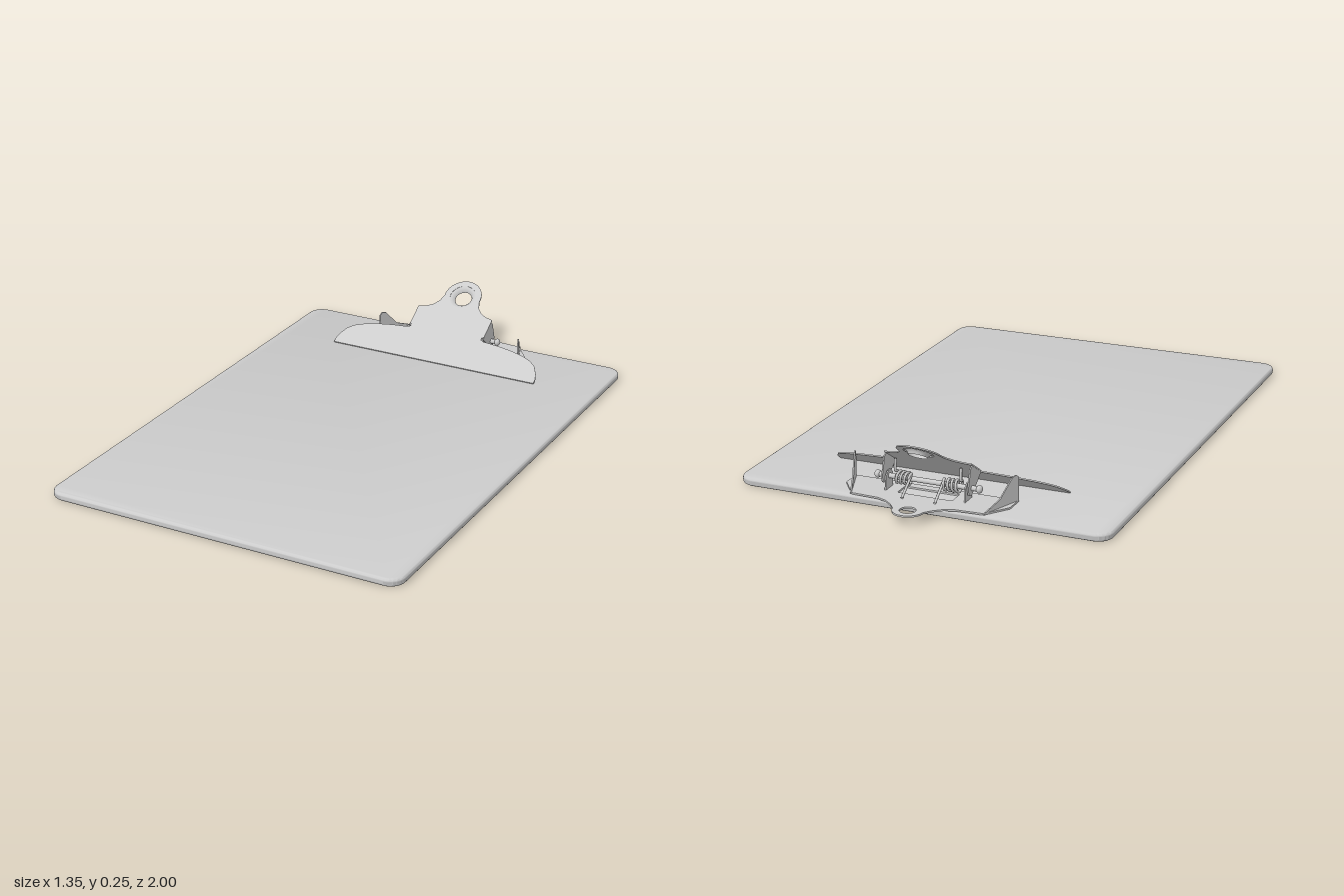
import * as THREE from 'three';
import { toCreasedNormals } from 'three/addons/utils/BufferGeometryUtils.js';

const grey = new THREE.MeshStandardMaterial({ color: 0xcccccc, side: THREE.DoubleSide });

function add(parent, name, geometry) {
  const mesh = new THREE.Mesh(geometry, grey);
  mesh.name = name;
  parent.add(mesh);
  return mesh;
}

function extrude(shape, depth, options = {}) {
  const g = new THREE.ExtrudeGeometry(shape, { depth, bevelEnabled: false, curveSegments: 16, ...options });
  return toCreasedNormals(g, 0.7);
}

function hole(shape, x, y, r) {
  const path = new THREE.Path();
  path.absarc(x, y, r, 0, Math.PI * 2, true);
  shape.holes.push(path);
}

// Symmetric outline from its right half, listed from bottom to top
function mirrored(half) {
  const left = half.map(([x, y]) => [-x, y]).reverse();
  return new THREE.Shape([...half, ...left].map(([x, y]) => new THREE.Vector2(x, y)));
}

// Points on an arc, from angle a to angle b
function arc(cx, cy, r, a, b, n = 10) {
  return Array.from({ length: n + 1 }, (_, i) => {
    const t = a + (b - a) * i / n;
    return [cx + r * Math.cos(t), cy + r * Math.sin(t)];
  });
}

// Thin sheet in the z-y plane, with its thickness along x
function sideSheet(points, thickness) {
  const shape = new THREE.Shape(points.map(([z, y]) => new THREE.Vector2(-z, y)));
  return extrude(shape, thickness).translate(0, 0, -thickness / 2).rotateY(Math.PI / 2);
}

function makeBoard() {
  const bevel = 0.011, w = 0.675 - bevel, front = -1 + bevel, back = 0.885 - bevel, r = 0.045;
  const s = new THREE.Shape();
  s.absarc(w - r, front + r, r, -Math.PI / 2, 0);
  s.absarc(w - r, back - r, r, 0, Math.PI / 2);
  s.absarc(-w + r, back - r, r, Math.PI / 2, Math.PI);
  s.absarc(-w + r, front + r, r, Math.PI, Math.PI * 1.5);
  const g = extrude(s, 0.03 - 2 * bevel, {
    bevelEnabled: true, bevelThickness: bevel, bevelSize: bevel, bevelSegments: 4,
  });
  return g.translate(0, 0, bevel).rotateX(-Math.PI / 2);
}

function makeClip() {
  const clip = new THREE.Group();
  clip.name = 'clip';

  // Sloping jaw: wide wings, a neck and a thumb tab with a round hole
  const jaw = new THREE.Group();
  jaw.name = 'jaw';
  const outline = mirrored([
    [0.43, 0], [0.43, 0.02], [0.422, 0.045], [0.405, 0.075], [0.38, 0.094], [0.34, 0.11],
    [0.29, 0.122], [0.23, 0.131], [0.165, 0.137], [0.152, 0.143], [0.152, 0.152], [0.16, 0.157],
    [0.16, 0.242], [0.13, 0.249], [0.105, 0.262], [0.085, 0.285],
    ...arc(0, 0.322, 0.076, -0.1, Math.PI / 2),
  ]);
  hole(outline, 0, 0.322, 0.052);
  add(jaw, 'jawPlate', extrude(outline, 0.005));
  // Dished rim around the hole
  const rim = [[0.052, 0.004], [0.044, 0.002], [0.036, -0.005], [0.033, -0.012]];
  const dish = add(jaw, 'holeRim', new THREE.LatheGeometry(rim.map(p => new THREE.Vector2(...p)), 32));
  dish.rotation.x = Math.PI / 2;
  dish.position.y = 0.322;
  jaw.position.set(0, 0.031, -0.592);
  jaw.rotation.x = -THREE.MathUtils.degToRad(57);
  clip.add(jaw);

  // Base plate with a hanging eye past the end of the board
  const base = mirrored([
    [0.3, 0.73], [0.3, 0.8], [0.24, 0.882], [0.14, 0.887], [0.105, 0.9], [0.075, 0.925],
    ...arc(0, 0.945, 0.055, 0.1, Math.PI / 2),
  ]);
  hole(base, 0, 0.95, 0.028);
  const slot = new THREE.Path([[-0.1, 0.76], [-0.1, 0.82], [0.1, 0.82], [0.1, 0.76]]
    .map(p => new THREE.Vector2(...p)));
  base.holes.push(slot);
  add(clip, 'basePlate', extrude(base, 0.006).rotateX(-Math.PI / 2).translate(0, 0.031, 0));

  for (const side of [-1, 1]) {
    // Cheek folded down from the neck of the jaw
    add(clip, 'jawCheek', sideSheet([
      [-0.715, 0.112], [-0.785, 0.158], [-0.8, 0.15], [-0.82, 0.085],
      [-0.815, 0.062], [-0.795, 0.055], [-0.775, 0.066],
    ], 0.005)).position.x = side * 0.157;

    // Upright lug of the base that carries the pivot
    add(clip, 'pivotLug', sideSheet([
      [-0.765, 0.033], [-0.765, 0.085], [-0.778, 0.1], [-0.8, 0.1], [-0.815, 0.085], [-0.82, 0.033],
    ], 0.005)).position.x = side * 0.145;

    // Tapering gusset along the slanting edge of the base
    const gusset = add(clip, 'baseGusset', sideSheet([
      [0, 0.033], [0, 0.12], [-0.012, 0.13], [-0.03, 0.126], [-0.09, 0.065], [-0.165, 0.037], [-0.165, 0.033],
    ], 0.005));
    gusset.position.set(side * 0.3, 0, -0.73);
    gusset.rotation.y = side * 0.36;

    // Pivot pin head
    const head = add(clip, 'pinHead', new THREE.SphereGeometry(0.014, 16, 10));
    head.scale.x = 0.8;
    head.position.set(side * 0.186, 0.08, -0.79);

    // Coil spring around the pivot, with a leg on the base and one under the jaw
    const points = [new THREE.Vector3(side * 0.06, 0.04, -0.87)];
    for (let i = 0; i <= 48; i++) {
      const t = Math.PI / 2 + i / 48 * Math.PI * 8;
      points.push(new THREE.Vector3(side * (0.06 + i / 48 * 0.06),
        0.08 + 0.02 * Math.sin(t), -0.79 + 0.02 * Math.cos(t)));
    }
    points.push(new THREE.Vector3(side * 0.12, 0.145, -0.79));
    add(clip, 'spring', new THREE.TubeGeometry(new THREE.CatmullRomCurve3(points), 160, 0.005, 6));
  }

  const pin = add(clip, 'pivotPin', new THREE.CylinderGeometry(0.009, 0.009, 0.37, 16));
  pin.rotation.z = Math.PI / 2;
  pin.position.set(0, 0.08, -0.79);
  return clip;
}

export function createModel() {
  const model = new THREE.Group();
  model.name = 'clipboard';
  add(model, 'board', makeBoard());
  model.add(makeClip());
  return model;
}
